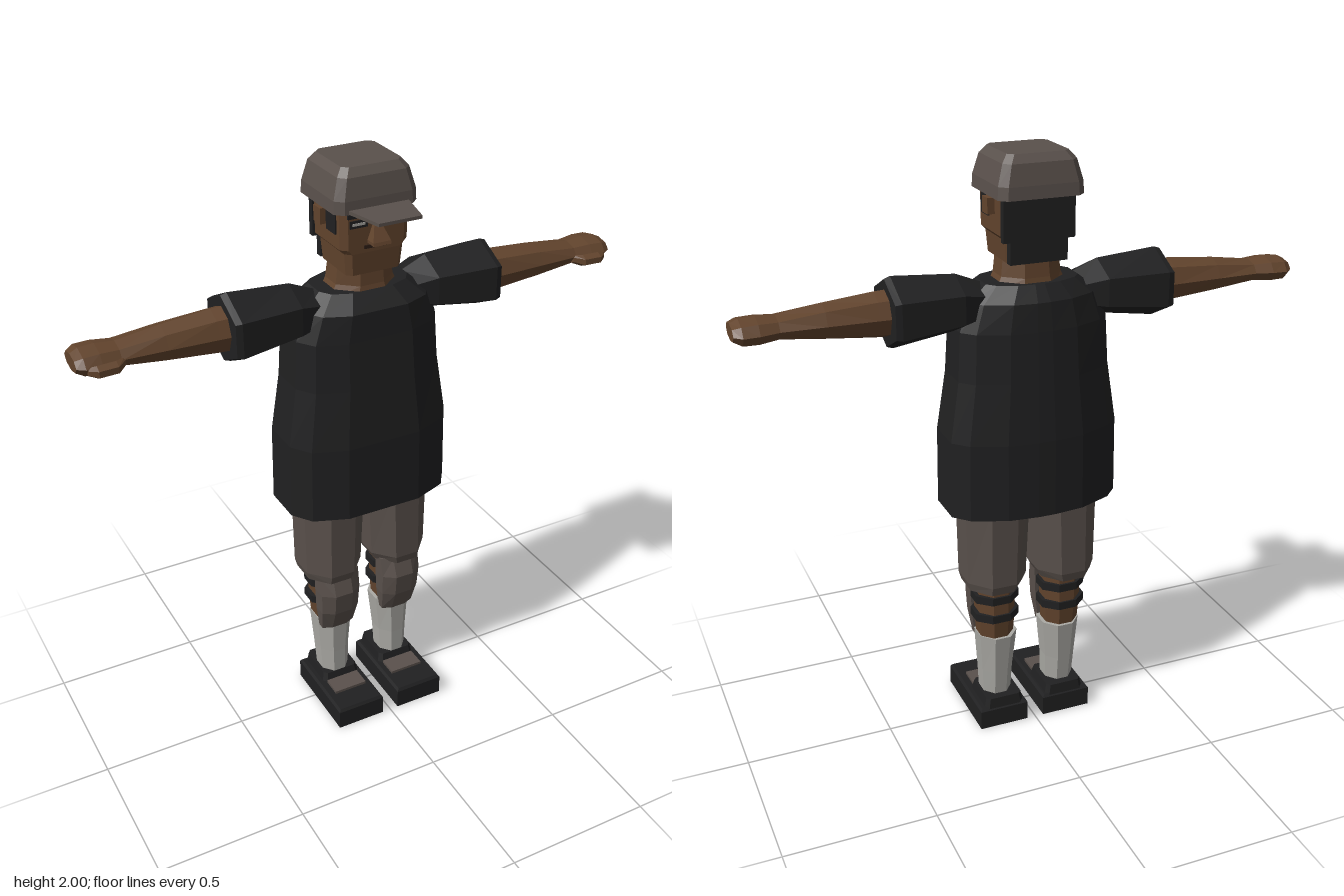
import * as THREE from 'three';

const mat = (name, color) => Object.assign(new THREE.MeshStandardMaterial({ color }), { name });

// Profiles run from +z towards +x, in a -1..1 square
const ngon = (n, offset = 0.5) => {
  const pts = Array.from({ length: n }, (_, i) => {
    const a = ((i + offset) / n) * Math.PI * 2;
    return [Math.sin(a), Math.cos(a)];
  });
  const mx = Math.max(...pts.map(p => p[0])), mz = Math.max(...pts.map(p => p[1]));
  return pts.map(([x, z]) => [x / mx, z / mz]);
};
const mirrorProfile = half => [...half, ...half.map(([x, z]) => [-x, z]).reverse()];
const TORSO = mirrorProfile([[0.45, 1], [0.84, 0.76], [1, 0.38], [1, -0.4], [0.84, -0.68], [0.45, -0.94], [0.1, -1]]);
const BEVEL = mirrorProfile([[0.82, 1], [1, 0.82], [1, -0.82], [0.82, -1]]);
const PAD = mirrorProfile([[0.45, 1], [1, 0.3], [1, -1]]);
const BOX = mirrorProfile([[1, 1], [1, -1]]);
const HEX = ngon(6), OCT = ngon(8), OCT_POINT = ngon(8, 0);

// Capped skin through levels [y, x0, x1, z0, z1]
function loft(profile, levels) {
  const rings = levels.map(([y, x0, x1, z0, z1]) => profile.map(([x, z]) =>
    [(x0 + x1) / 2 + x * (x1 - x0) / 2, y, (z0 + z1) / 2 + z * (z1 - z0) / 2]));
  const pos = [], n = profile.length;
  const tri = (...p) => p.forEach(v => pos.push(...v));
  for (let k = 0; k < rings.length - 1; k++) for (let i = 0; i < n; i++) {
    const j = (i + 1) % n, a = rings[k], b = rings[k + 1];
    tri(a[i], a[j], b[j]);
    tri(a[i], b[j], b[i]);
  }
  const low = rings[0], top = rings[rings.length - 1];
  for (let i = 1; i < n - 1; i++) {
    tri(top[0], top[i], top[i + 1]);
    tri(low[0], low[i + 1], low[i]);
  }
  const g = new THREE.BufferGeometry();
  g.setAttribute('position', new THREE.Float32BufferAttribute(pos, 3));
  g.computeVertexNormals();
  return g;
}

// Same, but running out along +x with levels [x, y0, y1, z0, z1]
const loftX = (profile, levels) =>
  loft(profile, levels.map(([x, y0, y1, z0, z1]) => [x, -y1, -y0, z0, z1])).rotateZ(-Math.PI / 2);

const box = (x0, x1, y0, y1, z0, z1) => loft(BOX, [[y0, x0, x1, z0, z1], [y1, x0, x1, z0, z1]]);

// Reflected copy across x = 0 with corrected corner order
function mirrored(geo) {
  const g = geo.clone(), p = g.attributes.position.array;
  for (let i = 0; i < p.length; i += 9) {
    for (let c = 0; c < 3; c++) [p[i + 3 + c], p[i + 6 + c]] = [p[i + 6 + c], p[i + 3 + c]];
    for (let c = 0; c < 9; c += 3) p[i + c] *= -1;
  }
  g.computeVertexNormals();
  return g;
}

export function createModel() {
  const model = new THREE.Group();
  const skin = mat('skin', 0x62442d), black = mat('black cloth', 0x202021);
  const grey = mat('warm grey cloth', 0x5a514c), sock = mat('sock grey', 0xaaa9a4);
  const lip = mat('dark skin', 0x2e1f17);

  const add = (name, geo, material) => {
    const m = new THREE.Mesh(geo, material);
    m.name = name;
    model.add(m);
  };
  const pair = (name, geo, material) => {
    add(name + 'Left', geo, material);
    add(name + 'Right', mirrored(geo), material);
  };

  // Shirt
  add('shirt', loft(TORSO, [
    [0.84, -0.29, 0.29, -0.215, 0.14], [1.1, -0.287, 0.287, -0.213, 0.138],
    [1.3, -0.257, 0.257, -0.2, 0.122], [1.46, -0.248, 0.248, -0.19, 0.11],
    [1.55, -0.215, 0.215, -0.18, 0.105], [1.6, -0.155, 0.155, -0.145, 0.055]]), black);
  pair('sleeve', loftX(HEX, [
    [0.15, 1.48, 1.595, -0.11, 0.03], [0.24, 1.45, 1.632, -0.14, 0.055],
    [0.445, 1.418, 1.647, -0.155, 0.075], [0.465, 1.425, 1.64, -0.15, 0.068]]), black);

  // Arms and hands
  pair('arm', loftX(OCT_POINT, [
    [0.4, 1.455, 1.61, -0.115, 0.035], [0.5, 1.46, 1.605, -0.11, 0.03],
    [0.66, 1.477, 1.59, -0.108, 0.025], [0.8, 1.497, 1.57, -0.105, 0.02],
    [0.86, 1.49, 1.575, -0.118, 0.028], [0.91, 1.492, 1.572, -0.12, 0.03],
    [0.935, 1.507, 1.56, -0.1, 0.015]]), skin);
  pair('thumb', loftX(HEX, [
    [0.79, 1.51, 1.54, 0, 0.02], [0.82, 1.5, 1.54, 0.005, 0.048],
    [0.88, 1.5, 1.54, 0.01, 0.052], [0.905, 1.51, 1.535, 0.01, 0.035]]), skin);

  // Neck and head
  add('neck', loft(OCT, [
    [1.57, -0.12, 0.12, -0.135, 0.06], [1.615, -0.1, 0.1, -0.125, 0.05],
    [1.7, -0.09, 0.09, -0.115, 0.045]]), skin);
  add('head', loft(BEVEL, [
    [1.665, -0.094, 0.094, -0.115, 0.07], [1.735, -0.1, 0.1, -0.12, 0.075],
    [1.75, -0.115, 0.115, -0.125, 0.075], [1.89, -0.117, 0.117, -0.125, 0.075]]), skin);
  add('nose', loft(BOX, [
    [1.765, -0.03, 0.03, 0.06, 0.115], [1.775, -0.03, 0.03, 0.06, 0.112],
    [1.835, -0.008, 0.008, 0.06, 0.078]]), skin);
  pair('ear', box(0.1, 0.14, 1.81, 1.86, -0.065, -0.02), skin);
  add('mouth', box(-0.042, 0.042, 1.748, 1.759, 0.072, 0.079), lip);
  pair('eyebrow', box(0.025, 0.098, 1.85, 1.864, 0.072, 0.081), black);
  pair('eye', box(0.03, 0.09, 1.818, 1.842, 0.072, 0.078), black);
  pair('eyeWhite', box(0.04, 0.082, 1.826, 1.834, 0.073, 0.08), sock);

  // Hair: back panel stepping in at the nape, and sideburns
  add('hairBack', box(-0.118, 0.118, 1.735, 1.89, -0.14, -0.118), black);
  add('hairNape', box(-0.095, 0.095, 1.665, 1.735, -0.137, -0.112), black);
  pair('sideburn', box(0.113, 0.121, 1.795, 1.88, -0.02, 0.04), black);

  // Cap
  add('capCrown', loft(BEVEL, [
    [1.87, -0.14, 0.14, -0.175, 0.092], [1.91, -0.138, 0.138, -0.172, 0.09],
    [1.975, -0.12, 0.12, -0.16, 0.077], [2.0, -0.1, 0.1, -0.14, 0.057]]), grey);
  add('capBrim', loft(BOX, [[0, -0.105, 0.105, -0.006, 0.006], [0.15, -0.072, 0.072, -0.005, 0.005]])
    .rotateX(Math.PI / 2).translate(0, 1.877, 0.07), grey);

  // Shorts
  pair('shorts', loft(OCT, [
    [0.54, 0.037, 0.222, -0.148, 0.072], [0.57, 0.022, 0.23, -0.155, 0.08],
    [0.86, 0.008, 0.235, -0.155, 0.08]]), grey);

  // Lower legs, knee pads and straps
  pair('leg', loft(OCT, [
    [0.3, 0.065, 0.178, -0.1, 0.015], [0.42, 0.058, 0.186, -0.112, 0.02],
    [0.56, 0.055, 0.188, -0.11, 0.03]]), skin);
  pair('kneePad', loft(PAD, [
    [0.318, 0.06, 0.18, -0.005, 0.035], [0.4, 0.05, 0.19, -0.005, 0.068],
    [0.48, 0.047, 0.193, -0.005, 0.078], [0.55, 0.045, 0.193, -0.005, 0.055]]), grey);
  for (const y of [0.425, 0.495]) {
    pair('kneeStrap', loft(OCT, [
      [y - 0.014, 0.045, 0.2, -0.118, 0.02], [y + 0.014, 0.045, 0.2, -0.118, 0.02]]), black);
  }

  // Socks
  pair('sock', loft(OCT, [
    [0.09, 0.068, 0.168, -0.088, 0.028], [0.2, 0.064, 0.174, -0.1, 0.03],
    [0.345, 0.05, 0.184, -0.115, 0.035]]), sock);

  // Shoes
  pair('shoe', loft(BOX, [
    [0, 0.03, 0.205, -0.125, 0.197], [0.068, 0.03, 0.205, -0.125, 0.197],
    [0.078, 0.037, 0.198, -0.118, 0.19]]), black);
  pair('shoeCollar', loft(BEVEL, [
    [0.07, 0.042, 0.186, -0.122, 0.04], [0.11, 0.05, 0.178, -0.118, 0.03]]), black);
  pair('shoeStrap', box(0.055, 0.175, 0.074, 0.088, 0.04, 0.11), grey);

  return model;
}
